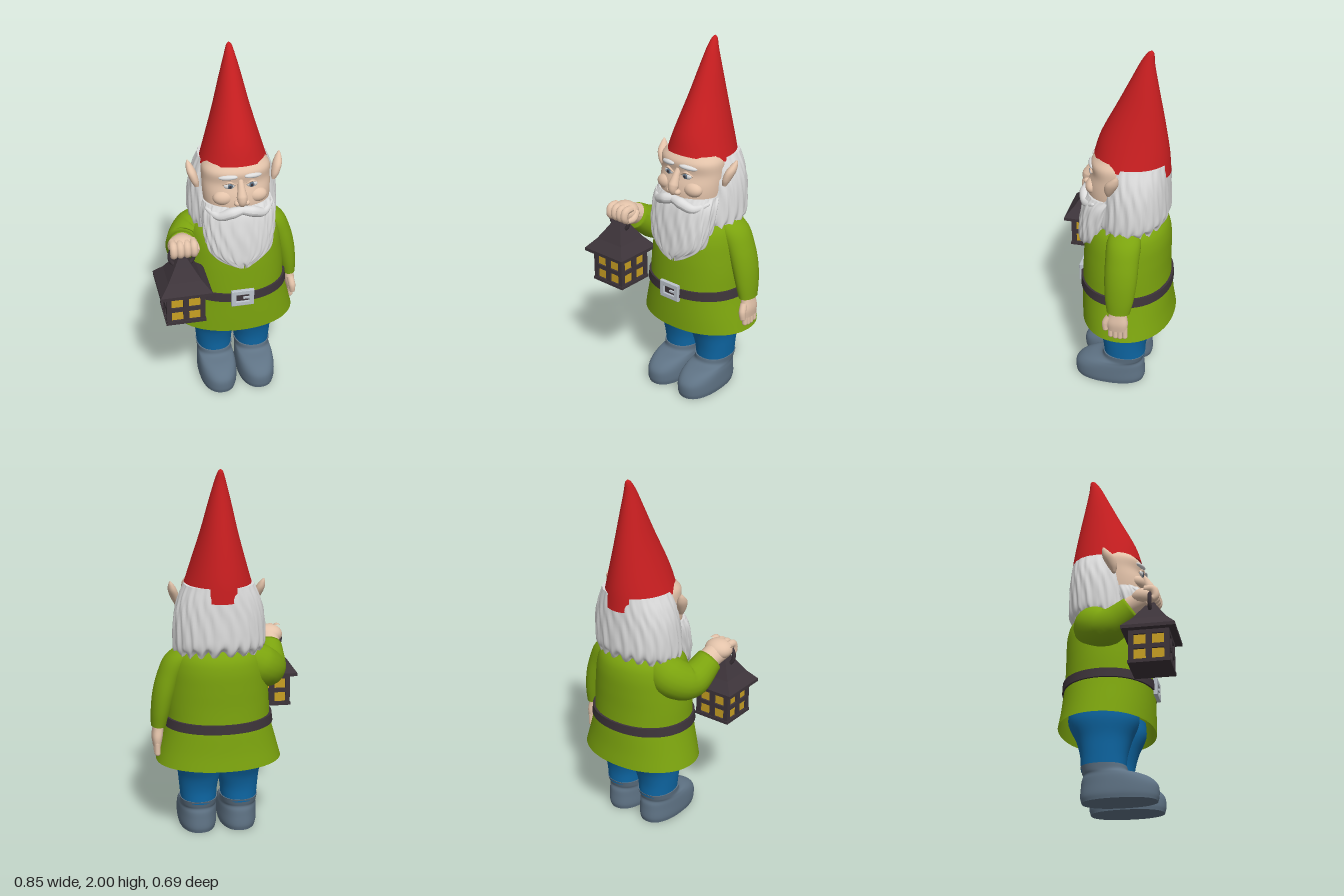
import * as THREE from 'three';

const mat = (name, color, side = THREE.FrontSide) => {
  const m = new THREE.MeshStandardMaterial({ color, side });
  m.name = name;
  return m;
};
const B = 0.05; // x of the body's centre line

// Smooth loft through elliptical sections [y, cx, cz, rx, rz, tilt], listed bottom to top.
function loft(sections, { n = 40, k = 5, p = 2, caps = true, ripple = null } = {}) {
  const centre = new THREE.CatmullRomCurve3(sections.map(s => new THREE.Vector3(s[1], s[0], s[2])), false, 'catmullrom');
  const size = new THREE.CatmullRomCurve3(sections.map(s => new THREE.Vector3(s[3], s[4], s[5] || 0)), false, 'catmullrom');
  const rows = (sections.length - 1) * k, pos = [], idx = [];
  const pw = v => Math.sign(v) * Math.abs(v) ** (2 / p);
  for (let i = 0; i <= rows; i++) {
    const t = i / rows, c = centre.getPoint(t), r = size.getPoint(t);
    for (let j = 0; j < n; j++) {
      const a = j / n * Math.PI * 2, [f, dy] = ripple ? ripple(a, t) : [1, 0];
      const x = pw(Math.cos(a)), z = pw(Math.sin(a));
      pos.push(c.x + Math.max(r.x, 0.001) * f * x, c.y + r.z * z + dy, c.z + Math.max(r.y, 0.001) * f * z);
      if (i < rows) {
        const q = i * n + j, b = i * n + (j + 1) % n;
        idx.push(q, q + n, b, b, q + n, b + n);
      }
    }
  }
  if (caps) for (const row of [0, rows]) {
    const start = pos.length / 3, c = centre.getPoint(row / rows);
    for (let j = 0; j < n; j++) pos.push(...pos.slice((row * n + j) * 3, (row * n + j) * 3 + 3));
    pos.push(c.x, c.y, c.z);
    for (let j = 0; j < n; j++) {
      const u = start + j, v = start + (j + 1) % n;
      row ? idx.push(u, start + n, v) : idx.push(u, v, start + n);
    }
  }
  const g = new THREE.BufferGeometry();
  g.setAttribute('position', new THREE.Float32BufferAttribute(pos, 3));
  g.setIndex(idx);
  g.computeVertexNormals();
  return g;
}

// Tube along points whose radius follows a list of values.
function limb(points, radii, steps = 30, sides = 20) {
  const curve = new THREE.CatmullRomCurve3(points.map(q => new THREE.Vector3(...q)));
  const g = new THREE.TubeGeometry(curve, steps, 1, sides), v = new THREE.Vector3();
  for (let i = 0; i <= steps; i++) {
    const c = curve.getPointAt(i / steps), f = i / steps * (radii.length - 1);
    const a = Math.min(Math.floor(f), radii.length - 2);
    const r = i === steps ? 0.001 : THREE.MathUtils.lerp(radii[a], radii[a + 1], f - a);
    for (let j = 0; j <= sides; j++) {
      const q = i * (sides + 1) + j;
      v.fromBufferAttribute(g.attributes.position, q).sub(c).multiplyScalar(r).add(c);
      g.attributes.position.setXYZ(q, v.x, v.y, v.z);
    }
  }
  g.computeVertexNormals();
  return g;
}

function rectPath(C, x, y, w, h) {
  const s = new C();
  s.moveTo(x - w / 2, y - h / 2);
  s.lineTo(x + w / 2, y - h / 2);
  s.lineTo(x + w / 2, y + h / 2);
  s.lineTo(x - w / 2, y + h / 2);
  s.closePath();
  return s;
}

export function createModel() {
  const root = new THREE.Group();
  root.name = 'gardenGnome';
  const red = mat('hatRed', 0xc81e20), green = mat('coatGreen', 0x7ba30e, THREE.DoubleSide);
  const blue = mat('trouserBlue', 0x0e68a6), grey = mat('bootGrey', 0x5f7385);
  const skin = mat('skin', 0xe3c3aa), white = mat('hairWhite', 0xdcdcdc);
  const dark = mat('darkBrown', 0x3d343a), yellow = mat('lampYellow', 0xc9a022), silver = mat('silver', 0xbcc3cb);
  const add = (name, geo, m, x = 0, y = 0, z = 0, parent = root) => {
    const o = new THREE.Mesh(geo, m);
    o.name = name;
    o.position.set(x, y, z);
    parent.add(o);
    return o;
  };
  const ball = (name, m, x, y, z, rx, ry, rz) => {
    const o = add(name, new THREE.SphereGeometry(1, 24, 16), m, x, y, z);
    o.scale.set(rx, ry, rz);
    return o;
  };

  // Boots and trouser legs
  for (const s of [-1, 1]) {
    const side = s > 0 ? 'left' : 'right', x = B + s * 0.113;
    add(side + 'Boot', loft([
      [0, x, 0, 0.102, 0.196], [0.03, x, 0, 0.108, 0.203], [0.08, x, 0, 0.108, 0.2],
      [0.115, x, -0.014, 0.106, 0.183], [0.138, x, -0.036, 0.102, 0.154],
      [0.155, x, -0.072, 0.1, 0.122], [0.187, x, -0.083, 0.104, 0.121]], { p: 2.3 }), grey);
    add(side + 'TrouserLeg', loft([
      [0.17, x, -0.085, 0.098, 0.116], [0.25, x, -0.083, 0.105, 0.123], [0.33, x - s * 0.004, -0.083, 0.117, 0.145],
      [0.42, x, -0.085, 0.13, 0.185], [0.5, x, -0.085, 0.13, 0.185]], { p: 2.2 }), blue);
  }

  // Coat with open flared hem
  add('coat', loft([
    [0.415, B, -0.087, 0.345, 0.258], [0.5, B, -0.08, 0.322, 0.252], [0.6, B, -0.075, 0.295, 0.247],
    [0.65, B, -0.072, 0.285, 0.244], [0.75, B, -0.072, 0.28, 0.24], [0.85, B, -0.075, 0.27, 0.237],
    [0.95, B, -0.08, 0.255, 0.228], [1.02, B, -0.085, 0.225, 0.2], [1.08, B, -0.09, 0.15, 0.13]],
  { n: 56, p: 2.1, caps: false }), green);

  // Belt and buckle
  add('belt', loft([[0.62, B, -0.073, 0.302, 0.256], [0.67, B, -0.073, 0.296, 0.254]], { n: 56, k: 1, p: 2.1 }), dark);
  const frame = rectPath(THREE.Shape, 0, 0, 0.12, 0.09);
  frame.holes.push(rectPath(THREE.Path, 0, 0, 0.08, 0.05));
  add('buckle', new THREE.ExtrudeGeometry(frame, { depth: 0.014, bevelSize: 0.004, bevelThickness: 0.004, bevelSegments: 2 }), silver, B, 0.645, 0.174);
  add('buckleProng', new THREE.BoxGeometry(0.045, 0.01, 0.01), silver, B + 0.025, 0.645, 0.186);

  // Hanging left arm and hand
  add('leftSleeve', loft([
    [0.615, 0.378, -0.095, 0.043, 0.064], [0.7, 0.366, -0.098, 0.054, 0.079], [0.8, 0.346, -0.1, 0.064, 0.088],
    [0.9, 0.315, -0.1, 0.07, 0.09], [1.0, 0.262, -0.1, 0.078, 0.09], [1.07, 0.2, -0.1, 0.05, 0.06]]), green);
  add('leftPalm', loft([
    [0.5, 0.39, -0.093, 0.022, 0.052], [0.55, 0.388, -0.092, 0.03, 0.058], [0.6, 0.382, -0.094, 0.03, 0.048],
    [0.65, 0.376, -0.095, 0.03, 0.045]], { p: 2.4 }), skin);
  for (let i = 0; i < 4; i++)
    add('leftFinger', new THREE.CapsuleGeometry(0.0155, 0.055, 6, 12), skin, 0.39, 0.49 - (i === 1 || i === 2 ? 0.006 : 0), -0.056 - i * 0.026);
  add('leftThumb', limb([[0.385, 0.585, -0.05], [0.392, 0.54, -0.028], [0.395, 0.495, -0.028]], [0.02, 0.02, 0.015]), skin);

  // Raised right arm and fist
  add('rightSleeve', limb([[-0.08, 1.0, -0.13], [-0.18, 0.93, -0.11], [-0.24, 0.9, -0.03], [-0.27, 0.985, 0.115]],
    [0.09, 0.115, 0.105, 0.085, 0.072]), green);
  add('rightWrist', limb([[-0.265, 0.98, 0.08], [-0.28, 1.02, 0.19]], [0.058, 0.065]), skin);
  ball('rightFist', skin, -0.28, 1.025, 0.175, 0.078, 0.056, 0.075);
  for (let i = 0; i < 4; i++)
    add('rightFinger', limb([[-0.335 + i * 0.036, 1.055, 0.18], [-0.335 + i * 0.036, 1.05, 0.228],
      [-0.335 + i * 0.036, 1.01, 0.238], [-0.335 + i * 0.036, 0.99, 0.215]], [0.02, 0.022, 0.021, 0.018], 16, 12), skin);
  add('rightThumb', limb([[-0.22, 1.03, 0.15], [-0.208, 1.0, 0.19], [-0.235, 0.985, 0.225]], [0.022, 0.02, 0.014]), skin);

  // Lantern: glowing core, four window panels, roof and ring
  const lantern = new THREE.Group();
  lantern.name = 'lantern';
  lantern.position.set(-0.29, 0, 0.21);
  root.add(lantern);
  add('lanternGlass', new THREE.BoxGeometry(0.188, 0.17, 0.188), yellow, 0, 0.71, 0, lantern);
  const panel = rectPath(THREE.Shape, 0, 0, 0.21, 0.18);
  for (const x of [-0.047, 0.047]) for (const y of [-0.042, 0.038])
    panel.holes.push(rectPath(THREE.Path, x, y, 0.063, 0.056));
  const panelGeo = new THREE.ExtrudeGeometry(panel, { depth: 0.013, bevelEnabled: false }).translate(0, 0, 0.092);
  for (let i = 0; i < 4; i++) add('windowPanel', panelGeo, dark, 0, 0.71, 0, lantern).rotation.y = i * Math.PI / 2;
  add('lanternBase', new THREE.BoxGeometry(0.218, 0.016, 0.218), dark, 0, 0.627, 0, lantern);
  const roofProfile = [[0, 0.798], [0.139, 0.798], [0.139, 0.816], [0.09, 0.872], [0.05, 0.935], [0.026, 0.975], [0.02, 0.995], [0, 0.995]];
  const roof = new THREE.LatheGeometry(roofProfile.map(([r, y]) => new THREE.Vector2(r * Math.SQRT2, y)), 4).rotateY(Math.PI / 4).toNonIndexed();
  roof.computeVertexNormals();
  add('lanternRoof', roof, dark, 0, 0, 0, lantern);
  add('lanternRing', new THREE.TorusGeometry(0.066, 0.011, 10, 32), dark, 0, 0.985, 0, lantern);

  // Head and wavy hair
  add('face', loft([
    [1.1, B, -0.02, 0.17, 0.15], [1.2, B, -0.015, 0.182, 0.155], [1.26, B, -0.015, 0.186, 0.148],
    [1.32, B, -0.02, 0.186, 0.134], [1.38, B, -0.02, 0.184, 0.138], [1.42, B, -0.03, 0.16, 0.12]], { p: 2.2 }), skin);
  add('hair', loft([
    [1.015, B, -0.1, 0.225, 0.17, -0.025], [1.06, B, -0.108, 0.243, 0.188, -0.02], [1.15, B, -0.115, 0.245, 0.185],
    [1.25, B, -0.12, 0.236, 0.178], [1.33, B, -0.122, 0.215, 0.172], [1.4, B, -0.122, 0.185, 0.165]],
  { n: 144, k: 6, p: 2.2, ripple: (a, t) => [
    1 + (1 - t * 0.6) * (0.022 * Math.sin(22 * a + 4 * Math.sin(5 * t)) + 0.012 * Math.sin(37 * a - 6 * t)),
    (1 - t) ** 4 * 0.022 * Math.sin(19 * a)] }), white);

  // Beard and moustache
  add('beard', loft([
    [0.845, B + 0.01, 0.155, 0.025, 0.025], [0.87, B, 0.135, 0.095, 0.055], [0.92, B, 0.105, 0.165, 0.085],
    [1.0, B, 0.085, 0.19, 0.1], [1.08, B, 0.065, 0.198, 0.11], [1.15, B, 0.045, 0.198, 0.115], [1.2, B, 0.02, 0.185, 0.115]],
  { n: 144, k: 6, p: 2.3, ripple: (a, t) => [
    1 + (1 - t * 0.5) * (0.03 * Math.sin(17 * a + 3 * Math.sin(6 * t)) + 0.015 * Math.sin(34 * a + 7 * t)),
    (1 - t) ** 3 * 0.015 * Math.sin(13 * a)] }), white);
  for (const s of [-1, 1]) {
    const side = s > 0 ? 'left' : 'right', x = d => B + s * d;
    add(side + 'Moustache', limb([[x(-0.005), 1.185, 0.148], [x(0.06), 1.172, 0.15], [x(0.12), 1.15, 0.128],
      [x(0.185), 1.18, 0.07]], [0.022, 0.031, 0.027, 0.02, 0.008]), white);
    // Eyes, brows, cheeks and nostrils
    ball(side + 'Eye', white, x(0.06), 1.318, 0.109, 0.031, 0.018, 0.014);
    ball(side + 'Iris', grey, x(0.058), 1.318, 0.12, 0.014, 0.015, 0.006);
    ball(side + 'Pupil', dark, x(0.058), 1.318, 0.1245, 0.007, 0.008, 0.003);
    add(side + 'Eyelid', limb([[x(0.026), 1.32, 0.117], [x(0.06), 1.34, 0.119], [x(0.096), 1.318, 0.1]], [0.004, 0.007, 0.004], 16, 8), skin);
    ball(side + 'Brow', white, x(0.068), 1.366, 0.108, 0.052, 0.014, 0.017).rotation.set(0, s * 0.3, s * -0.1);
    ball(side + 'Cheek', skin, x(0.09), 1.245, 0.095, 0.058, 0.042, 0.042);
    ball(side + 'Nostril', skin, x(0.026), 1.228, 0.145, 0.018, 0.016, 0.02);
    // Pointed ear
    add(side + 'Ear', loft([
      [1.265, x(0.212), -0.015, 0.012, 0.01], [1.3, x(0.222), -0.022, 0.022, 0.026], [1.345, x(0.236), -0.038, 0.025, 0.034],
      [1.38, x(0.246), -0.056, 0.016, 0.02], [1.403, x(0.252), -0.067, 0.003, 0.004]], { n: 24 }), skin);
  }
  add('nose', limb([[B, 1.345, 0.105], [B, 1.29, 0.135], [B, 1.24, 0.152], [B, 1.22, 0.14]], [0.014, 0.02, 0.029, 0.022]), skin);

  // Tall hat leaning back
  add('hat', loft([
    [1.37, B, -0.0975, 0.188, 0.203, 0.05], [1.4875, B, -0.11, 0.152, 0.18, 0.043], [1.665, B, -0.14, 0.1, 0.121, 0.043],
    [1.825, B, -0.158, 0.06, 0.069, 0.025], [1.93, B, -0.168, 0.032, 0.037, 0.005], [1.985, B, -0.182, 0.015, 0.018],
    [2.0, B, -0.186, 0.002, 0.002]], { n: 56 }), red);
  return root;
}
